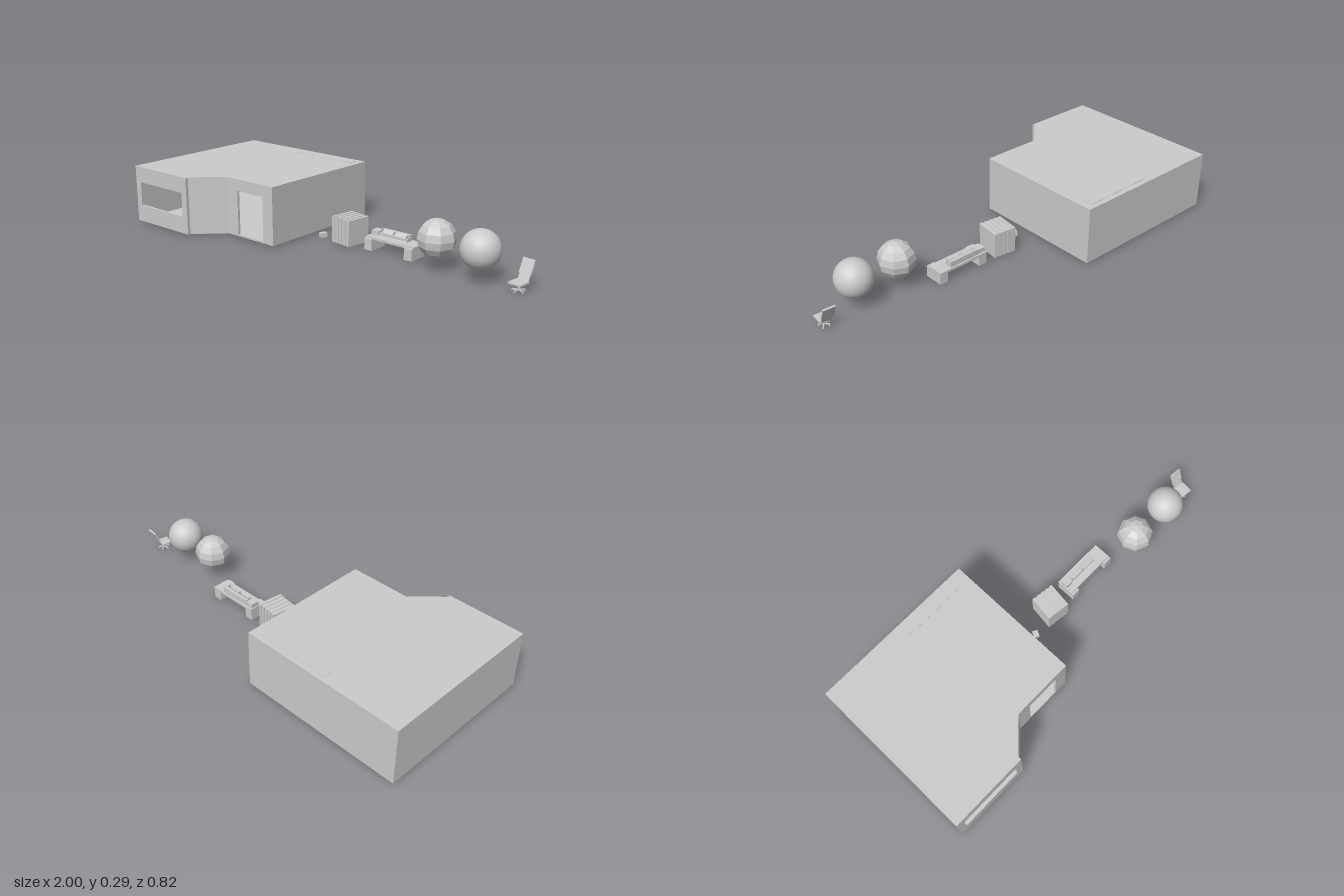
import * as THREE from 'three';

const grey = new THREE.MeshStandardMaterial({ color: 0xcccccc, side: THREE.DoubleSide });
const faceted = new THREE.MeshStandardMaterial({ color: 0xcccccc, flatShading: true });

function add(parent, name, geometry, x = 0, y = 0, z = 0, material = grey) {
  const m = new THREE.Mesh(geometry, material);
  m.name = name;
  m.position.set(x, y, z);
  parent.add(m);
  return m;
}

// Box given by its limits on each axis
function box(parent, name, x0, x1, y0, y1, z0, z1) {
  return add(parent, name, new THREE.BoxGeometry(x1 - x0, y1 - y0, z1 - z0),
    (x0 + x1) / 2, (y0 + y1) / 2, (z0 + z1) / 2);
}

// Side profile of [z, y] points, extruded along x
function sideProfile(parent, name, points, x0, x1) {
  const s = new THREE.Shape(points.map(([z, y]) => new THREE.Vector2(-z, y)));
  const g = new THREE.ExtrudeGeometry(s, { depth: x1 - x0, bevelEnabled: false });
  g.rotateY(Math.PI / 2);
  return add(parent, name, g, x0, 0, 0);
}

function group(parent, name, x = 0, z = 0, turn = 0) {
  const g = new THREE.Group();
  g.name = name;
  g.position.set(x, 0, z);
  g.rotation.y = turn;
  parent.add(g);
  return g;
}

function buildRoom(root) {
  const room = group(root, 'room');
  const plan = [[-1, 0.41], [-0.615, 0.41], [-0.615, 0.395], [-0.483, 0.265],
    [-0.18, 0.265], [-0.18, -0.412], [-1, -0.412]];
  const bottom = 0.006, top = 0.29, thick = 0.012;
  // Openings as [start, end, low, high] along each wall
  const openings = { 0: [0.035, 0.35, 0.09, 0.21], 3: [0.07, 0.238, 0.015, 0.232] };

  const slab = new THREE.Shape(plan.map(([x, z]) => new THREE.Vector2(x, -z)));
  const slabGeo = new THREE.ExtrudeGeometry(slab, { depth: 0.006, bevelEnabled: false });
  slabGeo.rotateX(-Math.PI / 2);
  add(room, 'floor', slabGeo, 0, bottom, 0);
  add(room, 'roof', slabGeo, 0, top - 0.006, 0);

  plan.forEach(([x, z], i) => {
    const [x2, z2] = plan[(i + 1) % plan.length];
    const length = Math.hypot(x2 - x, z2 - z);
    const s = new THREE.Shape([[0, bottom], [length, bottom], [length, top], [0, top]]
      .map((p) => new THREE.Vector2(...p)));
    if (openings[i]) {
      const [a, b, lo, hi] = openings[i];
      s.holes.push(new THREE.Path([[a, lo], [a, hi], [b, hi], [b, lo]]
        .map((p) => new THREE.Vector2(...p))));
    }
    const g = new THREE.ExtrudeGeometry(s, { depth: thick, bevelEnabled: false });
    g.translate(0, 0, -thick);
    const name = i === 0 ? 'windowWall' : i === 3 ? 'doorWall' : 'wall';
    add(room, name, g, x, 0, z).rotation.y = Math.atan2(z - z2, x2 - x);
  });

  // Hanging unit at the back, with a sloped underside
  sideProfile(room, 'wallUnit',
    [[-0.385, 0.18], [-0.34, 0.205], [-0.34, 0.292], [-0.385, 0.292]], -0.6, -0.22);
}

function buildCabinet(root) {
  const c = group(root, 'cabinet', 0.036, -0.035, -0.13);
  box(c, 'body', -0.058, 0.058, 0.002, 0.124, -0.06, 0.06);
  // Upright slats wrapping the top and back
  for (let i = 0; i < 5; i++) {
    const x = -0.058 + i * 0.0247;
    box(c, 'slat', x, x + 0.0172, 0, 0.127, -0.064, 0.062);
  }
}

function buildDesk(root) {
  const d = group(root, 'desk');
  box(d, 'top', 0.155, 0.425, 0.05, 0.062, -0.095, -0.008);
  for (const x of [0.155, 0.382]) {
    box(d, 'pedestal', x, x + 0.043, 0, 0.056, -0.092, 0.005);
  }
  box(d, 'sideBox', 0.16, 0.2, 0.062, 0.084, -0.085, -0.042);
  // Sloped console with a raised frame
  sideProfile(d, 'console',
    [[-0.088, 0.062], [-0.045, 0.062], [-0.05, 0.072], [-0.072, 0.09], [-0.088, 0.09]], 0.2, 0.36);
  box(d, 'consoleRail', 0.205, 0.355, 0.066, 0.078, -0.055, -0.046);
  for (const x of [0.205, 0.275, 0.35]) box(d, 'consolePost', x, x + 0.006, 0.066, 0.091, -0.076, -0.05);
}

function buildChair(root) {
  const c = group(root, 'chair', 0.963, 0.008, -0.1);
  box(c, 'seat', -0.031, 0.031, 0.034, 0.042, -0.028, 0.034);
  // Leaning backrest: main pad above a narrower support
  const back = new THREE.Group();
  back.name = 'backrest';
  back.position.set(0, 0.038, -0.027);
  back.rotation.x = -0.42;
  c.add(back);
  box(back, 'backPad', -0.029, 0.029, 0.03, 0.096, -0.005, 0.003);
  box(back, 'backPanel', -0.026, 0.026, 0, 0.03, -0.003, 0.001);
  add(c, 'column', new THREE.CylinderGeometry(0.004, 0.005, 0.03, 10), 0, 0.02, 0);
  // Five-spoke foot
  for (let i = 0; i < 5; i++) {
    const spoke = group(c, 'spoke', 0, 0, i * Math.PI * 0.4);
    box(spoke, 'spokeBar', -0.003, 0.003, 0.005, 0.01, 0, 0.028);
    box(spoke, 'footPad', -0.003, 0.003, 0, 0.006, 0.023, 0.029);
  }
}

export function createModel() {
  const root = new THREE.Group();
  root.name = 'roomAndFurniture';
  buildRoom(root);
  const small = group(root, 'smallBox', -0.103, 0, -0.45);
  box(small, 'smallBoxBody', -0.013, 0.013, 0.003, 0.025, -0.016, 0.016);
  buildCabinet(root);
  buildDesk(root);
  // Coarse and smooth balls
  add(root, 'facetedBall', new THREE.SphereGeometry(0.088, 8, 8), 0.57, 0.147, 0.025, faceted);
  add(root, 'smoothBall', new THREE.SphereGeometry(0.088, 32, 24), 0.79, 0.147, 0.028);
  buildChair(root);
  return root;
}
